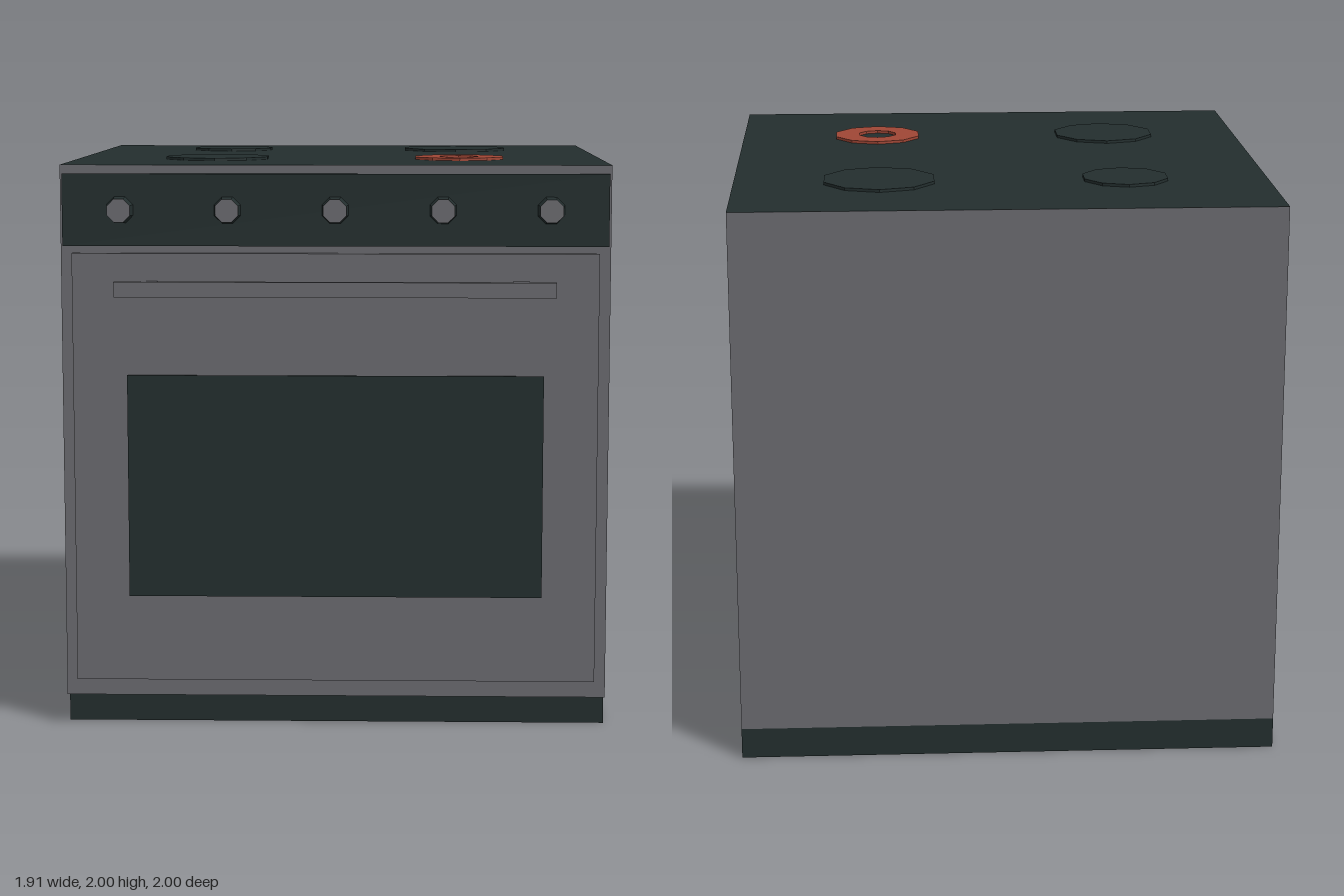
import * as THREE from 'three';

export function createModel() {
  const stove = new THREE.Group();
  stove.name = 'stove';

  const mat = (name, color) => {
    const m = new THREE.MeshStandardMaterial({ color });
    m.name = name;
    return m;
  };
  const steel = mat('steelGrey', 0x6b6b70);
  const dark = mat('darkGlass', 0x232e2e);
  const red = mat('hotRed', 0x9f4635);

  const add = (name, geometry, material, parent = stove) => {
    const mesh = new THREE.Mesh(geometry, material);
    mesh.name = name;
    parent.add(mesh);
    return mesh;
  };
  // box given by its limits on each axis
  const box = (name, [x0, x1], [y0, y1], [z0, z1], material, parent) => {
    const g = new THREE.BoxGeometry(x1 - x0, y1 - y0, z1 - z0);
    g.translate((x0 + x1) / 2, (y0 + y1) / 2, (z0 + z1) / 2);
    return add(name, g, material, parent);
  };

  // cabinet with a dark cooktop as its upper face
  box('cabinet', [-0.955, 0.955], [0.11, 1.99], [-1, 0.92],
    [steel, steel, dark, steel, steel, steel]);

  // plinth: hollow frame open towards the floor
  const plinth = new THREE.Group();
  plinth.name = 'plinth';
  stove.add(plinth);
  const t = 0.004;
  for (const s of [-1, 1]) {
    const xs = s < 0 ? [-0.955, -0.955 + t] : [0.955 - t, 0.955];
    box('plinthSide', xs, [0, 0.11], [-1, 0.855], dark, plinth);
  }
  box('plinthBack', [-0.955, 0.955], [0, 0.11], [-1, -1 + t], dark, plinth);
  box('plinthFront', [-0.955, 0.955], [0, 0.11], [0.855 - t, 0.855], dark, plinth);

  // control panel and knobs: dark sides, grey faces
  box('controlPanel', [-0.947, 0.947], [1.71, 1.96], [0.92, 0.938], dark);
  for (let i = -2; i <= 2; i++) {
    const g = new THREE.CylinderGeometry(0.043, 0.05, 0.05, 8, 1, false, Math.PI / 8);
    const knob = add('knob', g.toNonIndexed(), [dark, steel, dark]);
    knob.geometry.computeVertexNormals();
    knob.rotation.x = Math.PI / 2;
    knob.position.set(i * 0.373, 1.835, 0.961);
  }

  // oven door, window and handle
  box('ovenDoor', [-0.915, 0.915], [0.172, 1.685], [0.92, 0.945], steel);
  box('ovenWindow', [-0.726, 0.726], [0.475, 1.26], [0.945, 0.951], dark);
  box('handleBar', [-0.765, 0.765], [1.537, 1.59], [0.973, 1], steel);
  for (const x of [-0.645, 0.645]) {
    box('handlePost', [x - 0.028, x + 0.028], [1.537, 1.59], [0.945, 0.973], steel);
  }

  // cooking plates
  for (const [x, z, r] of [[-0.443, -0.487, 0.157], [0.437, -0.485, 0.206], [-0.443, 0.395, 0.193]]) {
    const g = new THREE.CylinderGeometry(r, r, 0.012, 10).toNonIndexed();
    g.computeVertexNormals();
    add('burner', g, dark).position.set(x, 1.994, z);
  }

  // glowing plate: ten-sided ring
  const polygon = (r) => Array.from({ length: 10 }, (_, i) => {
    const a = Math.PI / 2 + (i * Math.PI) / 5;
    return new THREE.Vector2(r * Math.cos(a), r * Math.sin(a));
  });
  const ring = new THREE.Shape(polygon(0.167));
  ring.holes.push(new THREE.Path(polygon(0.073)));
  const hot = add('hotBurner',
    new THREE.ExtrudeGeometry(ring, { depth: 0.012, bevelEnabled: false }), red);
  hot.rotation.x = -Math.PI / 2;
  hot.position.set(0.437, 1.988, 0.395);

  return stove;
}
